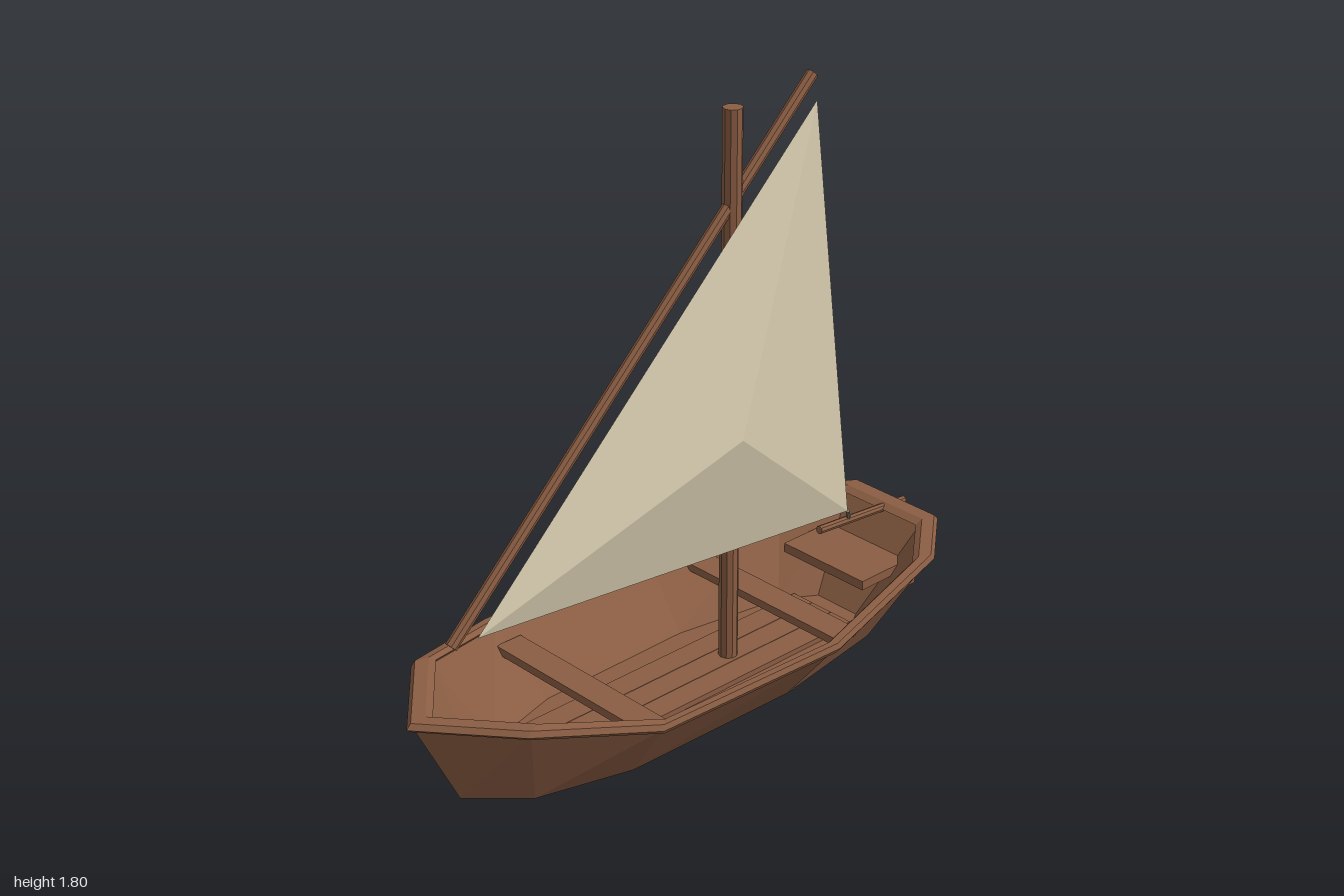
import * as THREE from 'three';

const mat = (name, color, extra = {}) =>
  Object.assign(new THREE.MeshStandardMaterial({ color, flatShading: true, ...extra }), { name });

// Half outlines from bow to stern: [x, y, z]
const RIM = [[0, 0.325, 0.99], [0.25, 0.325, 0.78], [0.39, 0.255, 0.42], [0.415, 0.255, -0.24], [0.31, 0.31, -0.755], [0.165, 0.325, -0.93]];
const KEEL = [[0, 0.015, 0.82], [0.14, 0.015, 0.67], [0.22, 0.015, 0.38], [0.23, 0.015, -0.22], [0.165, 0.015, -0.63], [0.09, 0.015, -0.75]];

// Full mirrored outline, scaled in plan and shifted in height
function ring(half, scale, dy) {
  const right = half.map(([x, y, z]) => [x * scale, y + dy, z * scale]);
  const left = right.slice(1).reverse().map(([x, y, z]) => [-x, y, z]);
  return [...right, ...left];
}

// Skin a list of rings, either closed round or capped at both ends
function loft(rings, closed) {
  const pos = [];
  const tri = (a, b, c) => pos.push(...a, ...b, ...c);
  const n = rings[0].length;
  const last = closed ? rings.length : rings.length - 1;
  for (let r = 0; r < last; r++) {
    const a = rings[r], b = rings[(r + 1) % rings.length];
    for (let i = 0; i < n; i++) {
      const j = (i + 1) % n;
      tri(a[i], a[j], b[j]);
      tri(a[i], b[j], b[i]);
    }
  }
  if (!closed) {
    const first = rings[0], end = rings[rings.length - 1];
    for (let i = 1; i < n - 1; i++) {
      tri(first[0], first[i + 1], first[i]);
      tri(end[0], end[i], end[i + 1]);
    }
  }
  const g = new THREE.BufferGeometry();
  g.setAttribute('position', new THREE.Float32BufferAttribute(pos, 3));
  g.computeVertexNormals();
  return g;
}

export function createModel() {
  const boat = new THREE.Group();
  boat.name = 'sailboat';
  const wood = mat('wood', 0x8a5d43);
  const canvas = mat('canvas', 0xd8ccb0, { side: THREE.DoubleSide });
  const ropeGrey = mat('rope', 0x8f8878);

  const add = (name, geometry, material = wood) => {
    const m = new THREE.Mesh(geometry, material);
    m.name = name;
    boat.add(m);
    return m;
  };
  const box = (name, w, h, d, x, y, z) =>
    add(name, new THREE.BoxGeometry(w, h, d)).position.set(x, y, z);
  const rod = (name, from, to, radius, sides, material) => {
    const a = new THREE.Vector3(...from), b = new THREE.Vector3(...to);
    const dir = b.clone().sub(a);
    const m = add(name, new THREE.CylinderGeometry(radius, radius, dir.length(), sides), material);
    m.position.copy(a).add(b).multiplyScalar(0.5);
    m.quaternion.setFromUnitVectors(new THREE.Vector3(0, 1, 0), dir.normalize());
  };

  // Hollow hull and the gunwale around its edge
  add('hull', loft([ring(KEEL, 1, 0), ring(RIM, 0.98, -0.015), ring(RIM, 0.93, -0.015), ring(KEEL, 0.89, 0.025)], false));
  const section = [[0.98, -0.03], [1, -0.016], [0.985, 0], [0.935, 0], [0.91, -0.014], [0.935, -0.03]];
  add('gunwale', loft(section.map(([s, dy]) => ring(RIM, s, dy)), true));

  // Floor planks, benches and stern seat
  for (const x of [-0.08, 0, 0.08]) box('floorPlank', 0.078, 0.02, 1.2, x, 0.047, 0);
  box('frontBench', 0.64, 0.025, 0.09, 0, 0.185, 0.375);
  box('rearBench', 0.64, 0.025, 0.09, 0, 0.185, -0.365);
  box('sternSeat', 0.33, 0.03, 0.23, 0, 0.2, -0.715);

  // Mast and slanting yard
  rod('mast', [0, 0.04, -0.2], [0, 1.765, -0.2], 0.029, 10);
  rod('yard', [0, 0.5, 0.83], [0, 1.79, -0.505], 0.018, 8);

  // Billowed three-panel sail
  const front = [0.04, 0.52, 0.77], peak = [0.045, 1.73, -0.48], clew = [0.04, 0.385, -0.66], belly = [0.13, 0.835, -0.125];
  const sail = new THREE.BufferGeometry();
  sail.setAttribute('position', new THREE.Float32BufferAttribute(
    [front, belly, peak, front, clew, belly, clew, peak, belly].flat(), 3));
  sail.computeVertexNormals();
  add('sail', sail, canvas);

  // Sheet rope, tiller and rudder
  rod('sheetRope', clew, [0, 0.325, -0.71], 0.006, 6, ropeGrey);
  rod('tiller', [0, 0.333, -0.58], [0, 0.302, -0.955], 0.013, 8);
  box('rudder', 0.046, 0.255, 0.115, 0, 0.1275, -0.9425);

  return boat;
}
